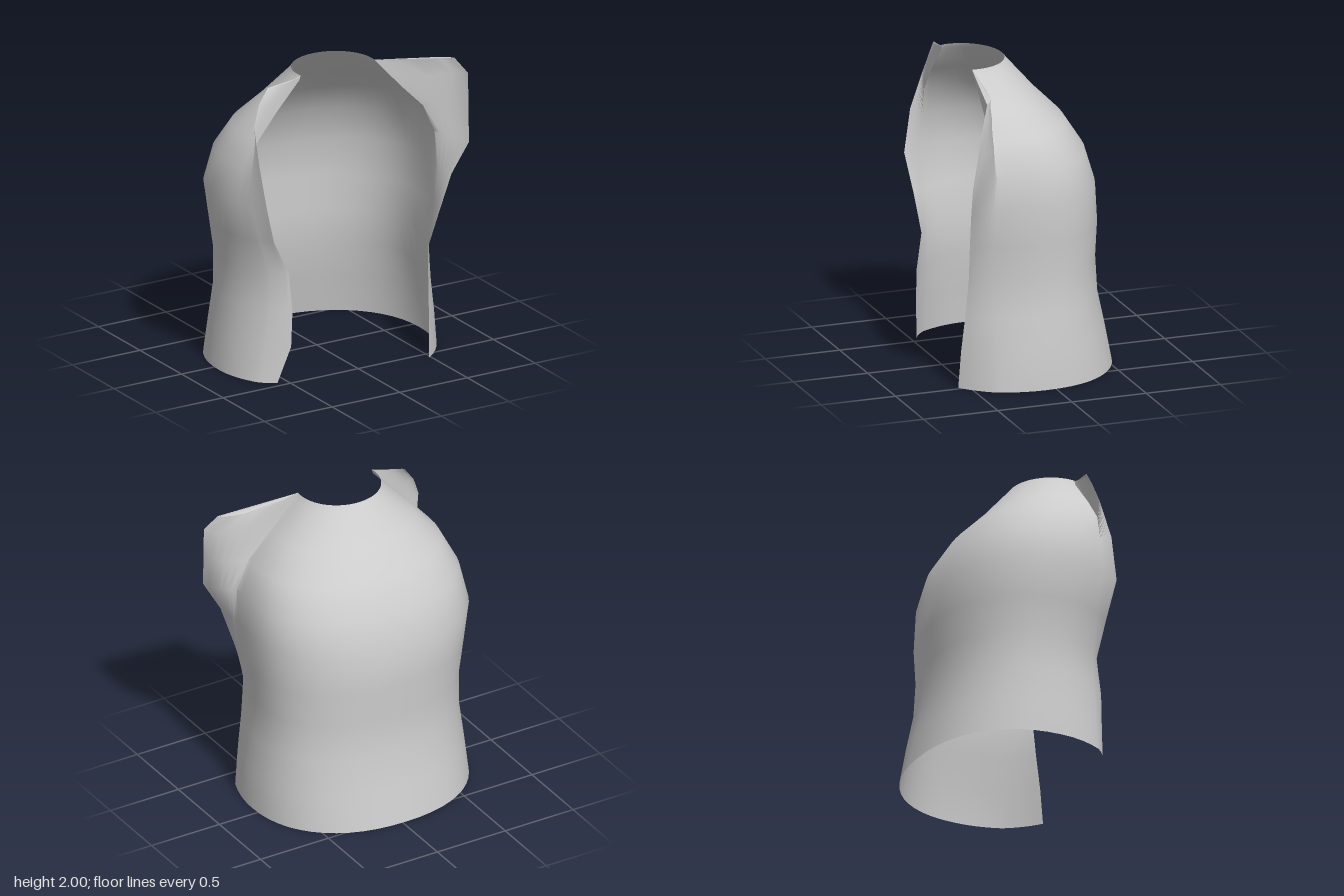
import * as THREE from 'three';
import { toCreasedNormals } from 'three/addons/utils/BufferGeometryUtils.js';

const ARC = 26, SIDE = 4, PANEL = 6;
const FOLD_Z = 0.37;

// Cross-sections of the garment, bottom to top:
// y, outer x right/left, z of widest point, z of back, fold x right/left,
// roundness of the back (1 = ellipse, less = fuller), bow of the front panels (0.5 = flat)
const sections = [
  [0.00, -0.76, 0.72, 0.07, -0.58, -0.675, 0.66, 0.9, 0.4],
  [0.24, -0.74, 0.71, 0.07, -0.53, -0.64, 0.64, 0.9, 0.4],
  [0.48, -0.71, 0.67, 0.06, -0.48, -0.61, 0.61, 0.9, 0.4],
  [0.72, -0.71, 0.65, 0.06, -0.47, -0.60, 0.59, 0.9, 0.4],
  [0.95, -0.75, 0.67, 0.08, -0.485, -0.67, 0.63, 0.9, 0.5],
  [1.20, -0.80, 0.675, 0.10, -0.475, -0.74, 0.65, 0.9, 0.5],
  [1.43, -0.76, 0.655, 0.14, -0.40, -0.71, 0.645, 0.88, 0.7],
  [1.62, -0.68, 0.57, 0.22, -0.28, -0.66, 0.56, 0.9, 0.85],
  [1.78, -0.54, 0.41, 0.28, -0.12, -0.53, 0.40, 0.95, 0.88],
  [1.97, -0.365, 0.22, 0.33, 0.045, -0.355, 0.225, 1, 0.9],
  [2.00, -0.35, 0.20, 0.33, 0.07, -0.345, 0.20, 1, 0.5],
];

// Free front edges, one [x, y, z] for each cross-section
const rightEdge = [
  [-0.57, 0, 0.455], [-0.49, 0.24, 0.49], [-0.48, 0.48, 0.49], [-0.485, 0.72, 0.455],
  [-0.60, 0.95, 0.465], [-0.675, 1.20, 0.50], [-0.70, 1.48, 0.45], [-0.69, 1.72, 0.37],
  [-0.64, 1.85, 0.345], [-0.57, 1.95, 0.34], [-0.36, 1.99, 0.375],
];
const leftEdge = [
  [0.48, 0, 0.57], [0.49, 0.24, 0.555], [0.50, 0.48, 0.53], [0.51, 0.72, 0.51],
  [0.58, 0.95, 0.53], [0.66, 1.20, 0.55], [0.77, 1.40, 0.58], [0.785, 1.62, 0.55],
  [0.80, 1.84, 0.52], [0.73, 1.94, 0.47], [0.22, 1.995, 0.375],
];

// Points from the free edge through the fold to just before the widest point
function frontHalf(y, xSide, zSide, xFold, edge, bow) {
  const points = [];
  const fold = new THREE.Vector3(xFold, y, FOLD_Z);
  const side = new THREE.Vector3(xSide, y, zSide);
  const free = new THREE.Vector3(...edge);
  const panelControl = fold.clone().lerp(free, bow);
  panelControl.z = THREE.MathUtils.lerp(free.z, FOLD_Z, bow);
  const panel = new THREE.QuadraticBezierCurve3(free, panelControl, fold);
  for (let i = 0; i < PANEL; i++) points.push(panel.getPoint(i / PANEL));
  const sideControl = new THREE.Vector3(xSide, y, zSide + 0.5 * (FOLD_Z - zSide));
  const flank = new THREE.QuadraticBezierCurve3(fold, sideControl, side);
  for (let i = 0; i < SIDE; i++) points.push(flank.getPoint(i / SIDE));
  return points;
}

// One complete cross-section: right front, round the back, left front
function crossSection([y, xR, xL, zSide, zBack, foldR, foldL, round, bow], k) {
  const back = [];
  for (let i = 0; i <= ARC; i++) {
    const a = Math.PI * i / ARC;
    const c = Math.cos(a), s = Math.max(0, Math.sin(a));
    back.push(new THREE.Vector3(
      (xR + xL) / 2 - (xL - xR) / 2 * Math.sign(c) * Math.abs(c) ** round,
      y,
      zSide + (zBack - zSide) * s ** round));
  }
  return [
    ...frontHalf(y, xR, zSide, foldR, rightEdge[k], bow),
    ...back,
    ...frontHalf(y, xL, zSide, foldL, leftEdge[k], bow).reverse(),
  ];
}

// Skin the cross-sections into one sheet
function loft(rows) {
  const n = rows[0].length, index = [];
  for (let r = 0; r < rows.length - 1; r++) {
    for (let j = 0; j < n - 1; j++) {
      const a = r * n + j;
      index.push(a, a + n, a + 1, a + 1, a + n, a + n + 1);
    }
  }
  const geometry = new THREE.BufferGeometry().setFromPoints(rows.flat());
  geometry.setIndex(index);
  return toCreasedNormals(geometry, Math.PI / 3.5);
}

export function createModel() {
  const group = new THREE.Group();
  group.name = 'openVest';
  const cloth = new THREE.MeshStandardMaterial({ color: 0xcccccc, side: THREE.DoubleSide });
  cloth.name = 'light grey cloth';
  const vest = new THREE.Mesh(loft(sections.map(crossSection)), cloth);
  vest.name = 'vestShell';
  group.add(vest);
  return group;
}
